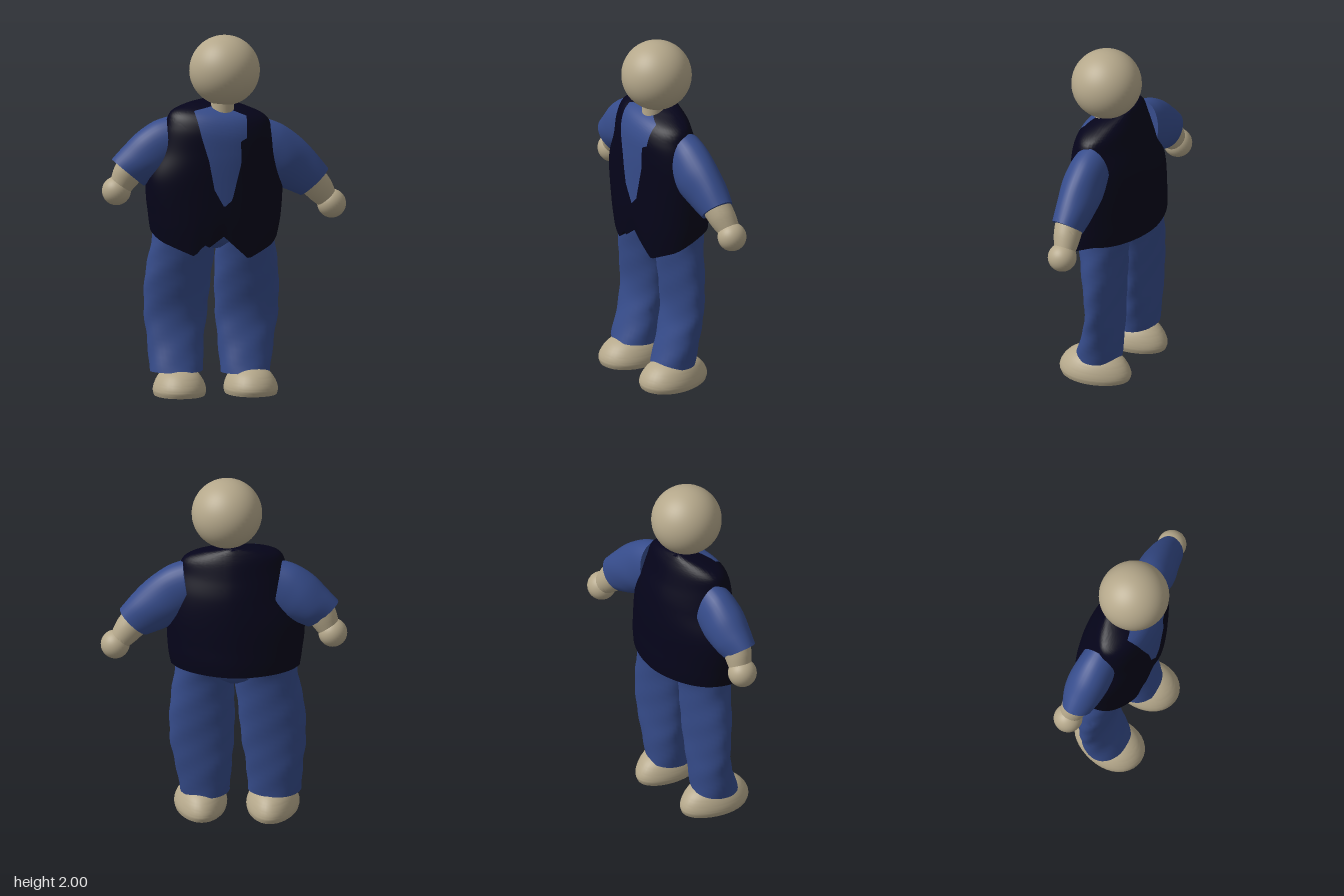
import * as THREE from 'three';
import { toCreasedNormals } from 'three/addons/utils/BufferGeometryUtils.js';

const mat = (name, color) => {
  const m = new THREE.MeshStandardMaterial({ color, side: THREE.DoubleSide });
  m.name = name;
  return m;
};

// Catmull-Rom sample of a list of rows, t in 0..1
function sample(rows, t) {
  const f = t * (rows.length - 1), i = Math.min(Math.floor(f), rows.length - 2), s = f - i;
  const at = (k) => rows[Math.max(0, Math.min(rows.length - 1, k))];
  return rows[0].map((_, c) => {
    const a = at(i - 1)[c], b = at(i)[c], d = at(i + 1)[c], e = at(i + 2)[c];
    return b + 0.5 * s * (d - a + s * (2 * a - 5 * b + 4 * d - e + s * (3 * (b - d) + e - a)));
  });
}

// Linear lookup in [key, value] pairs
function lookup(table, k) {
  if (k <= table[0][0]) return table[0][1];
  for (let i = 1; i < table.length; i++) {
    const [k0, v0] = table[i - 1], [k1, v1] = table[i];
    if (k <= k1) return v0 + (v1 - v0) * (k - k0) / (k1 - k0);
  }
  return table[table.length - 1][1];
}

// Quad grid surface from fn(row, column)
function grid(rows, cols, fn) {
  const pos = [], idx = [];
  for (let i = 0; i <= rows; i++) for (let j = 0; j <= cols; j++) pos.push(...fn(i, j));
  for (let i = 0; i < rows; i++) for (let j = 0; j < cols; j++) {
    const a = i * (cols + 1) + j, c = a + cols + 1;
    idx.push(a, a + 1, c, a + 1, c + 1, c);
  }
  const g = new THREE.BufferGeometry();
  g.setAttribute('position', new THREE.Float32BufferAttribute(pos, 3));
  g.setIndex(idx);
  return toCreasedNormals(g, 0.9);
}

// Closed tube through rings [x, y, z, radius across, radius in z, tilt], top to bottom
function loft(rings, fold = 0) {
  const n = 28, cols = 36;
  return grid(n + 2, cols, (i, j) => {
    const [x, y, z, ru, rz, a] = sample(rings, Math.min(1, Math.max(0, (i - 1) / n)));
    if (i === 0 || i === n + 2) return [x, y, z];
    const t = (j % cols) / cols * Math.PI * 2;
    const k = 1 + fold * Math.sin(3 * t + y * 14) * Math.sin(y * 23 + t);
    const u = Math.cos(t) * ru * k;
    return [x + u * Math.cos(a), y + u * Math.sin(a), z + Math.sin(t) * rz * k];
  });
}

// Torso rows: [y, centre x, half width, front z, back z]
const torso = [
  [0.85, -0.065, 0.355, 0.175, -0.237], [0.98, -0.063, 0.37, 0.19, -0.234],
  [1.2, -0.065, 0.38, 0.195, -0.212], [1.36, -0.045, 0.335, 0.195, -0.182],
  [1.48, -0.045, 0.3, 0.185, -0.142], [1.56, -0.045, 0.265, 0.145, -0.115],
  [1.605, -0.05, 0.17, 0.065, -0.095], [1.632, -0.055, 0.06, -0.02, -0.08],
];
const frontPower = 0.92, backPower = 1.12;
const hemFront = [[-0.42, 0.88], [-0.2, 0.785], [-0.15, 0.85], [-0.12, 0.835], [-0.04, 0.895],
  [0.1, 0.765], [0.28, 0.85]];
const neckRight = [[1.06, -0.04], [1.16, -0.095], [1.32, -0.125], [1.45, -0.165], [1.58, -0.195], [1.615, -0.05]];
const neckLeft = [[1.06, -0.04], [1.1, 0.005], [1.3, 0.055], [1.43, 0.055], [1.45, 0.09], [1.57, 0.095], [1.615, -0.05]];

function torsoPoint(t, th) {
  const [y, cx, hw, zf, zb] = sample(torso, t);
  const power = Math.cos(th) > 0 ? frontPower : backPower;
  const pow = (v) => Math.sign(v) * Math.abs(v) ** power;
  const x = cx + hw * pow(Math.sin(th));
  const z = (zf + zb) / 2 + (zf - zb) / 2 * pow(Math.cos(th));
  const front = THREE.MathUtils.smoothstep(z, -0.08, 0.1);
  const hem = 0.925 + (lookup(hemFront, x) - 0.925) * front;
  const low = Math.max(0, 1 - (y - 0.85) / 0.22);
  const slope = -0.07 * (x + 0.05) * THREE.MathUtils.smoothstep(y, 1.3, 1.55);
  return [x, y + (hem - 0.85) * low + slope, z];
}

// Angle of a neckline edge at row t
function edge(t, table) {
  const [y, cx, hw] = sample(torso, t);
  const s = THREE.MathUtils.clamp((lookup(table, y) - cx) / hw, -0.85, 0.85);
  return Math.asin(Math.sign(s) * Math.abs(s) ** (1 / frontPower));
}

export function createModel() {
  const group = new THREE.Group();
  const skin = mat('beige', 0xb5a88b);
  const blue = mat('blue cloth', 0x364c8b);
  const navy = mat('dark navy cloth', 0x05041a);
  const add = (name, geo, m, x = 0, y = 0, z = 0) => {
    const mesh = new THREE.Mesh(geo, m);
    mesh.name = name;
    mesh.position.set(x, y, z);
    group.add(mesh);
    return mesh;
  };

  add('head', new THREE.SphereGeometry(0.195, 48, 32), skin, -0.015, 1.805, 0.043);
  add('neck', new THREE.CylinderGeometry(0.062, 0.066, 0.16, 32), skin, -0.028, 1.59, 0.055);

  // Vest wraps from one neckline edge round the back to the other
  const R = 72;
  add('vest', grid(R + 2, 100, (i, j) => {
    if (i === 0) return [-0.065, 0.93, -0.03];
    if (i === R + 2) return [-0.055, 1.634, -0.05];
    const t = (i - 1) / R, a = edge(t, neckLeft), b = Math.PI * 2 + edge(t, neckRight);
    return torsoPoint(t, a + (b - a) * j / 100);
  }), navy);

  // Shirt fills the V opening
  add('shirtFront', grid(R, 20, (i, j) => {
    const t = 0.2 + 0.7 * i / R, a = edge(t, neckRight), b = edge(t, neckLeft);
    return torsoPoint(t, a + (b - a) * j / 20);
  }), blue);

  // Hips close the trousers beneath the vest
  add('hips', loft([[-0.065, 1, -0.03, 0.32, 0.15, 0], [-0.065, 0.92, -0.025, 0.32, 0.135, 0],
    [-0.067, 0.86, -0.02, 0.27, 0.11, 0], [-0.067, 0.81, -0.02, 0.2, 0.05, 0]]), blue);

  add('rightTrouserLeg', loft([
    [-0.225, 0.97, -0.025, 0.18, 0.145, 0], [-0.235, 0.85, -0.02, 0.177, 0.128, 0],
    [-0.265, 0.65, -0.03, 0.182, 0.105, 0], [-0.277, 0.45, -0.035, 0.178, 0.085, 0],
    [-0.28, 0.3, -0.02, 0.16, 0.098, 0], [-0.28, 0.13, 0.015, 0.147, 0.125, 0]], 0.03), blue);
  add('leftTrouserLeg', loft([
    [0.09, 0.97, -0.025, 0.17, 0.145, 0], [0.11, 0.85, -0.02, 0.163, 0.128, 0],
    [0.118, 0.65, -0.03, 0.177, 0.105, 0], [0.12, 0.45, -0.035, 0.178, 0.085, 0],
    [0.113, 0.3, -0.02, 0.16, 0.098, 0], [0.105, 0.115, 0.015, 0.135, 0.125, 0]], 0.03), blue);

  // Sleeves start at a near-vertical armhole
  add('rightSleeve', loft([
    [-0.295, 1.39, -0.01, 0.155, 0.108, -1.4], [-0.35, 1.37, -0.015, 0.155, 0.112, -1.2],
    [-0.42, 1.33, -0.02, 0.145, 0.115, -1.02], [-0.49, 1.28, -0.025, 0.125, 0.105, -0.87],
    [-0.545, 1.235, -0.025, 0.115, 0.085, -0.7]], 0.02), blue);
  add('leftSleeve', loft([
    [0.2, 1.37, 0, 0.155, 0.108, 1.4], [0.26, 1.34, 0, 0.155, 0.112, 1.15],
    [0.335, 1.285, -0.005, 0.148, 0.113, 0.98], [0.42, 1.22, -0.015, 0.13, 0.1, 0.85],
    [0.495, 1.16, -0.02, 0.108, 0.085, 0.75]], 0.02), blue);

  // Wrists and ball hands
  add('rightWrist', loft([[-0.52, 1.27, -0.03, 0.085, 0.08, -0.6],
    [-0.555, 1.21, -0.038, 0.078, 0.074, -0.55], [-0.59, 1.14, -0.05, 0.058, 0.058, -0.5]]), skin);
  add('leftWrist', loft([[0.47, 1.185, -0.022, 0.085, 0.08, 0.75],
    [0.53, 1.115, -0.035, 0.078, 0.074, 0.75], [0.58, 1.05, -0.05, 0.058, 0.058, 0.75]]), skin);
  add('rightHand', new THREE.SphereGeometry(0.08, 32, 24), skin, -0.604, 1.13, -0.053);
  add('leftHand', new THREE.SphereGeometry(0.08, 32, 24), skin, 0.598, 1.03, -0.05);

  // Domed feet, narrower at the heel
  for (const [name, x, turn] of [['rightFoot', -0.267, -0.06], ['leftFoot', 0.128, 0.08]]) {
    const g = loft([[0.148, 0.35], [0.138, 0.55], [0.11, 0.77], [0.07, 0.93], [0.03, 1], [0, 0.96]]
      .map(([y, s]) => [0, y, 0, 0.15 * s, 0.21 * s, 0]));
    const p = g.attributes.position;
    for (let i = 0; i < p.count; i++) p.setX(i, p.getX(i) * (0.97 + 0.7 * p.getZ(i)));
    add(name, toCreasedNormals(g, 0.9), skin, x, 0, 0.022).rotation.y = turn;
  }
  return group;
}
